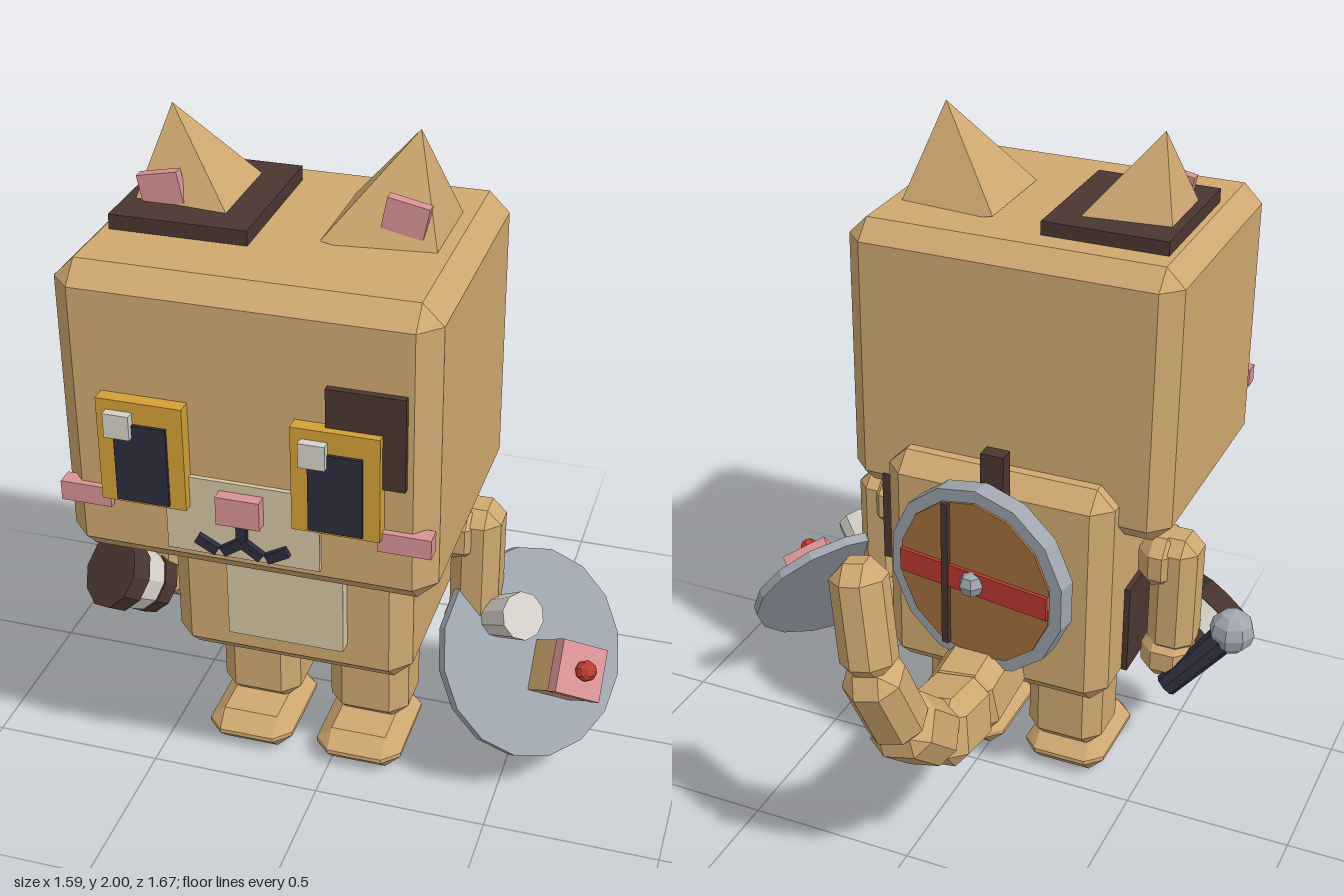
import * as THREE from 'three';
import { ConvexGeometry } from 'three/addons/geometries/ConvexGeometry.js';

const V = (x, y, z) => new THREE.Vector3(x, y, z);
const MID = -0.0865; // the body's own centre line
const mirrorX = (x) => 2 * MID - x;

export function createModel() {
  const root = new THREE.Group();
  const mat = (name, color) => {
    const m = new THREE.MeshStandardMaterial({ color, flatShading: true });
    m.name = name;
    return m;
  };
  const fur = mat('tan fur', 0xcfa870);
  const cream = mat('cream', 0xd4c4a2);
  const white = mat('off white', 0xd6d2ca);
  const pink = mat('pink', 0xd89294);
  const gold = mat('gold', 0xd39f37);
  const brown = mat('dark brown', 0x4a3630);
  const navy = mat('navy', 0x2c2c3c);
  const steel = mat('steel', 0xa0a6b0);
  const red = mat('red', 0xbf3a30);
  const wood = mat('wood', 0xa8733f);

  const add = (name, geo, material, pos = V(0, 0, 0), parent = root) => {
    const m = new THREE.Mesh(geo, material);
    m.name = name;
    m.position.copy(pos);
    parent.add(m);
    return m;
  };
  // Box given by its limits on each axis
  const box = (name, material, [x0, x1], [y0, y1], [z0, z1], parent = root) =>
    add(name, new THREE.BoxGeometry(x1 - x0, y1 - y0, z1 - z0), material,
      V((x0 + x1) / 2, (y0 + y1) / 2, (z0 + z1) / 2), parent);
  // Box with all edges cut at 45 degrees
  const chamferGeo = (w, h, d, b) => {
    const pts = [];
    for (const x of [-1, 1]) for (const y of [-1, 1]) for (const z of [-1, 1]) {
      const [X, Y, Z] = [w / 2, h / 2, d / 2];
      pts.push(V(x * X, y * (Y - b), z * (Z - b)), V(x * (X - b), y * Y, z * (Z - b)), V(x * (X - b), y * (Y - b), z * Z));
    }
    return new ConvexGeometry(pts);
  };
  const chamfer = (name, [x0, x1], [y0, y1], [z0, z1], b) =>
    add(name, chamferGeo(x1 - x0, y1 - y0, z1 - z0, b), fur, V((x0 + x1) / 2, (y0 + y1) / 2, (z0 + z1) / 2));

  // Head and body
  chamfer('head', [-0.578, 0.405], [0.91, 1.737], [-0.02, 0.772], 0.055);
  chamfer('body', [-0.44, 0.255], [0.38, 1.085], [-0.105, 0.44], 0.055);
  box('bellyPatch', cream, [-0.255, 0.08], [0.505, 0.95], [0.43, 0.48]);
  box('leftSidePatch', brown, [0.245, 0.29], [0.69, 0.97], [-0.03, 0.26]);
  box('rightSidePatch', brown, [-0.457, -0.43], [0.43, 0.71], [0.06, 0.31]);
  box('headTopPatch', brown, [-0.505, -0.14], [1.72, 1.777], [0.105, 0.54]);
  box('facePatch', brown, [0.135, 0.335], [1.26, 1.515], [0.76, 0.79]);

  // Face
  box('muzzle', cream, [-0.29, 0.115], [0.985, 1.205], [0.76, 0.785]);
  box('nose', pink, [-0.145, -0.03], [1.1, 1.18], [0.76, 0.818]);
  for (const cx of [-0.3375, 0.165]) {
    box('eye', gold, [cx - 0.113, cx + 0.113], [1.12, 1.41], [0.76, 0.811]);
    box('pupil', navy, [cx - 0.068, cx + 0.071], [1.13, 1.35], [0.8, 0.82]);
    box('eyeHighlight', white, [cx - 0.086, cx - 0.018], [1.315, 1.382], [0.8, 0.835]);
  }
  box('leftCheek', pink, [0.265, 0.402], [1.08, 1.135], [0.743, 0.79]);
  box('rightCheek', pink, [-0.575, -0.438], [1.08, 1.135], [0.743, 0.79]);
  box('mouthCentre', navy, [MID - 0.014, MID + 0.014], [1.025, 1.1], [0.77, 0.8]);
  for (const s of [-1, 1]) {
    const barGeo = new THREE.BoxGeometry(0.062, 0.027, 0.03);
    add('mouthInner', barGeo, navy, V(MID + s * 0.026, 1.023, 0.786)).rotation.z = -s * 0.6;
    add('mouthOuter', barGeo, navy, V(MID + s * 0.093, 1.02, 0.786)).rotation.z = s * 0.5;
  }

  // Ears lean outwards, with a pink plate in front
  for (const s of [-1, 1]) {
    const side = (x) => (s > 0 ? x : mirrorX(x));
    const ear = new THREE.Group();
    ear.name = s > 0 ? 'leftEar' : 'rightEar';
    ear.position.set(side(0.208), 1.856, 0.317);
    ear.rotation.z = -s * 0.2;
    root.add(ear);
    add('earShell', new THREE.ConeGeometry(0.222, 0.293, 4).rotateY(Math.PI / 4), fur, V(0, 0, 0), ear);
    add('innerEar', new THREE.BoxGeometry(0.11, 0.085, 0.03), pink, V(s * 0.032, -0.037, 0.425 - 0.317), ear);
  }

  // Legs, feet, arms and hands
  for (const s of [-1, 1]) {
    const span = (a, b) => (s > 0 ? [a, b] : [mirrorX(b), mirrorX(a)]);
    chamfer('leg', span(-0.038, 0.2), [0.095, 0.45], [0.05, 0.265], 0.047);
    chamfer('foot', span(-0.048, 0.21), [0, 0.107], [0.05, 0.385], 0.047);
    chamfer('shoulder', span(0.28, 0.41), [0.7, 0.865], [0.085, 0.265], 0.045);
    chamfer('arm', span(0.315, 0.455), [0.48, 0.865], [0.1, 0.25], 0.04);
    chamfer('hand', span(0.3, 0.46), [0.39, 0.54], [0.09, 0.25], 0.045);
  }

  // Tail: a chain of chamfered blocks curling upwards
  const joints = [V(-0.09, 0.48, -0.07), V(-0.092, 0.45, -0.32), V(-0.09, 0.48, -0.51), V(-0.075, 0.62, -0.67), V(-0.045, 0.84, -0.765), V(0, 1.14, -0.735)];
  const widths = [0.205, 0.205, 0.18, 0.16, 0.145];
  widths.forEach((w, i) => {
    const dir = joints[i + 1].clone().sub(joints[i]);
    const extra = i < 4 ? 0.05 : 0.02;
    const seg = add('tailSegment', chamferGeo(w, w, dir.length() + extra, 0.045), fur,
      joints[i].clone().add(joints[i + 1]).multiplyScalar(0.5));
    seg.quaternion.setFromUnitVectors(V(0, 0, 1), dir.normalize());
  });

  // Round shield on the back; local y points out behind
  box('shieldStrap', brown, [-0.145, -0.075], [0.465, 1.178], [-0.147, -0.1]);
  const shieldTurn = new THREE.Group();
  shieldTurn.name = 'shield';
  shieldTurn.position.set(-0.09, 0.8, -0.175);
  shieldTurn.rotation.y = -0.16;
  root.add(shieldTurn);
  const discGeo = (r, h) => new THREE.CylinderGeometry(r, r, h, 14).rotateX(-Math.PI / 2);
  add('shieldRim', discGeo(0.29, 0.06), steel, V(0, 0, 0), shieldTurn);
  add('shieldWood', discGeo(0.252, 0.03), wood, V(0, 0, -0.022), shieldTurn);
  add('shieldBand', new THREE.BoxGeometry(0.49, 0.072, 0.016), red, V(0, 0, -0.04), shieldTurn);
  add('shieldGroove', new THREE.BoxGeometry(0.022, 0.46, 0.016), brown, V(0.09, 0, -0.043), shieldTurn);
  add('shieldBoss', new THREE.SphereGeometry(0.038, 6, 4), steel, V(0, 0, -0.048), shieldTurn);

  // Tray in the left hand, with a cup and a cake; local y is its upper side
  const n = V(0.65, 0.53, 0.55).normalize();
  const u = V(0, n.z, -n.y).normalize();
  const tray = new THREE.Group();
  tray.name = 'tray';
  tray.position.set(0.553, 0.4, 0.19);
  tray.quaternion.setFromRotationMatrix(new THREE.Matrix4().makeBasis(u, n, u.clone().cross(n)));
  root.add(tray);
  add('trayDisc', new THREE.CylinderGeometry(0.3, 0.3, 0.03, 16), steel, V(0, 0, 0), tray);
  add('trayCup', new THREE.CylinderGeometry(0.068, 0.06, 0.13, 10), white, V(0.07, 0.08, -0.136), tray);
  add('cake', new THREE.BoxGeometry(0.145, 0.11, 0.145), fur, V(-0.038, 0.068, 0.076), tray);
  add('cakeIcing', new THREE.BoxGeometry(0.15, 0.04, 0.15), pink, V(-0.038, 0.14, 0.076), tray);
  add('cherry', new THREE.SphereGeometry(0.031, 8, 6), red, V(-0.038, 0.181, 0.076), tray);

  // Banded mug in the right hand
  const mug = new THREE.Group();
  mug.name = 'mug';
  mug.position.set(-0.62, 0.503, 0.3);
  mug.quaternion.setFromUnitVectors(V(0, 1, 0), V(-0.5, 0.55, 0.67).normalize());
  root.add(mug);
  add('mugTop', new THREE.CylinderGeometry(0.11, 0.11, 0.06, 10), brown, V(0, 0.06, 0), mug);
  add('mugBand', new THREE.CylinderGeometry(0.1, 0.094, 0.07, 10), white, V(0, -0.005, 0), mug);
  add('mugBase', new THREE.CylinderGeometry(0.1, 0.095, 0.05, 10), brown, V(0, -0.065, 0), mug);

  // Microphone in the right hand
  const ball = V(-0.735, 0.577, 0.176);
  const end = V(-0.57, 0.39, 0.09);
  const handleDir = ball.clone().sub(end);
  const handle = add('microphoneHandle', new THREE.CylinderGeometry(0.045, 0.035, handleDir.length(), 8), navy,
    ball.clone().add(end).multiplyScalar(0.5));
  handle.quaternion.setFromUnitVectors(V(0, 1, 0), handleDir.normalize());
  add('microphoneBall', new THREE.SphereGeometry(0.068, 8, 6), steel, ball);

  return root;
}
